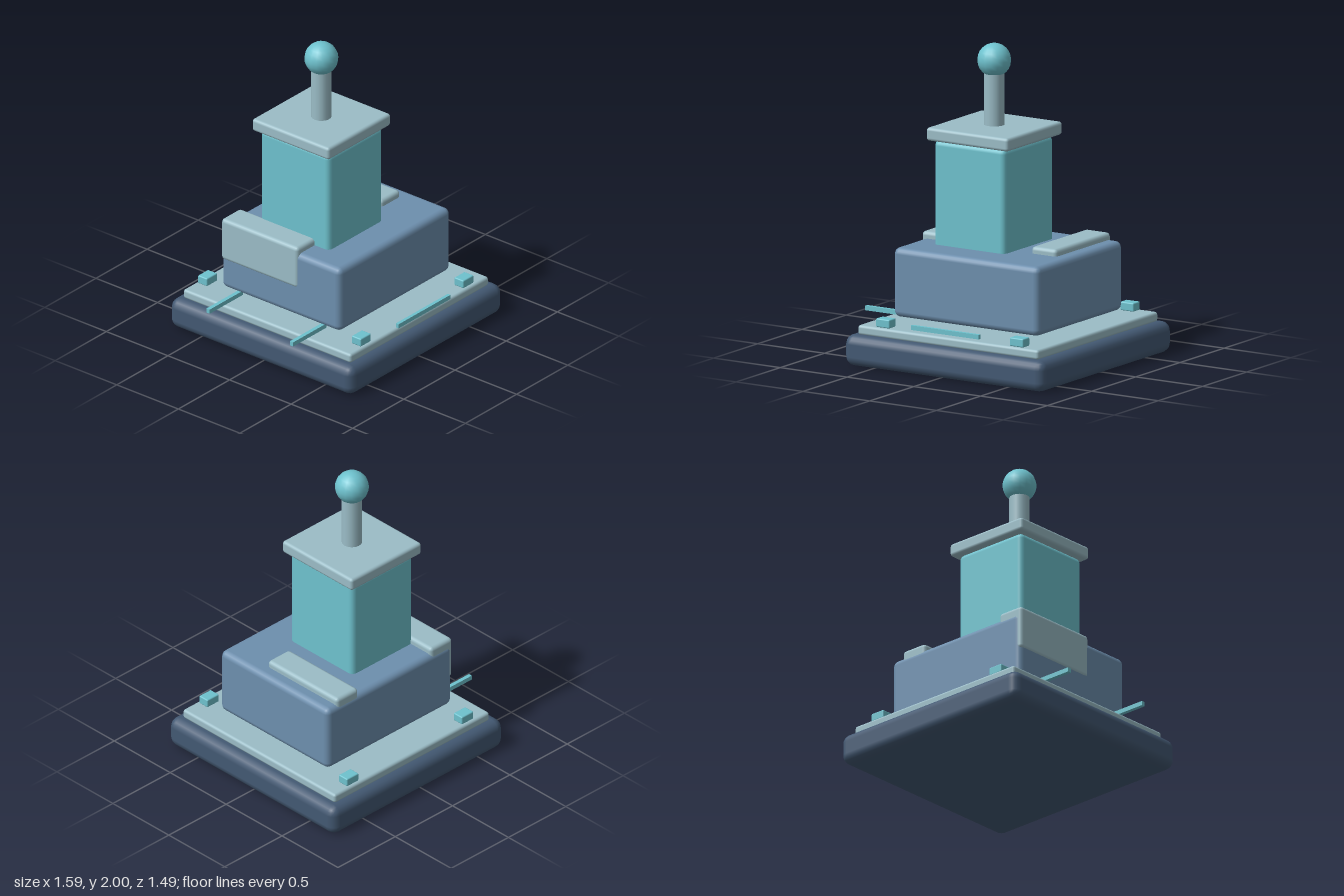
import * as THREE from 'three';
import { RoundedBoxGeometry } from 'three/addons/geometries/RoundedBoxGeometry.js';

const material = (name, color) => {
  const m = new THREE.MeshStandardMaterial({ color });
  m.name = name;
  return m;
};

export function createModel() {
  const navy = material('dark navy', 0x435973);
  const blue = material('steel blue', 0x6d8fae);
  const pale = material('pale blue grey', 0x9bbdc7);
  const teal = material('teal', 0x6ec2ce);

  const model = new THREE.Group();
  model.name = 'steppedTower';

  const add = (name, geometry, mat, x, y, z) => {
    const mesh = new THREE.Mesh(geometry, mat);
    mesh.name = name;
    mesh.position.set(x, y, z);
    model.add(mesh);
  };

  // Box given by its [min, max] range on each axis, with bevelled edges
  const block = (name, mat, [x0, x1], [y0, y1], [z0, z1], bevel) => {
    const size = [x1 - x0, y1 - y0, z1 - z0];
    const geometry = bevel
      ? new RoundedBoxGeometry(...size, 2, bevel)
      : new THREE.BoxGeometry(...size);
    add(name, geometry, mat, (x0 + x1) / 2, (y0 + y1) / 2, (z0 + z1) / 2);
  };

  // Stepped base and main body
  block('base', navy, [-0.705, 0.79], [0, 0.2], [-0.745, 0.742], 0.06);
  block('basePlate', pale, [-0.635, 0.718], [0.195, 0.258], [-0.683, 0.68], 0.018);
  block('body', blue, [-0.503, 0.587], [0.29, 0.733], [-0.485, 0.482], 0.04);

  // Tower with its roof slab
  block('tower', teal, [-0.343, 0.19], [0.7, 1.4], [-0.3, 0.262], 0.035);
  block('roofSlab', pale, [-0.381, 0.232], [1.395, 1.48], [-0.336, 0.29], 0.02);

  // Post and ball finial
  add('post', new THREE.CylinderGeometry(0.064, 0.064, 0.37, 16), pale, -0.075, 1.655, -0.023);
  add('ball', new THREE.SphereGeometry(0.107, 16, 12), teal, -0.075, 1.893, -0.023);

  // Shoulder panels set into the top of the body
  block('rightPanel', pale, [-0.51, -0.32], [0.49, 0.777], [-0.48, 0.145], 0.025);
  block('leftPanel', pale, [0.31, 0.5], [0.49, 0.777], [-0.48, 0.145], 0.025);

  // Corner blocks on the base plate
  for (const x of [-0.46, 0.542]) {
    for (const z of [-0.627, 0.622]) {
      block('cornerBlock', teal, [x - 0.051, x + 0.051], [0.257, 0.312], [z - 0.038, z + 0.038], 0.008);
    }
  }

  // Thin rods on the right side and a bar across the front
  for (const z of [-0.343, 0.335]) {
    block('sideRod', teal, [-0.797, -0.47], [0.272, 0.301], [z - 0.013, z + 0.013]);
  }
  block('frontBar', teal, [-0.21, 0.297], [0.285, 0.314], [0.695, 0.717]);

  return model;
}
